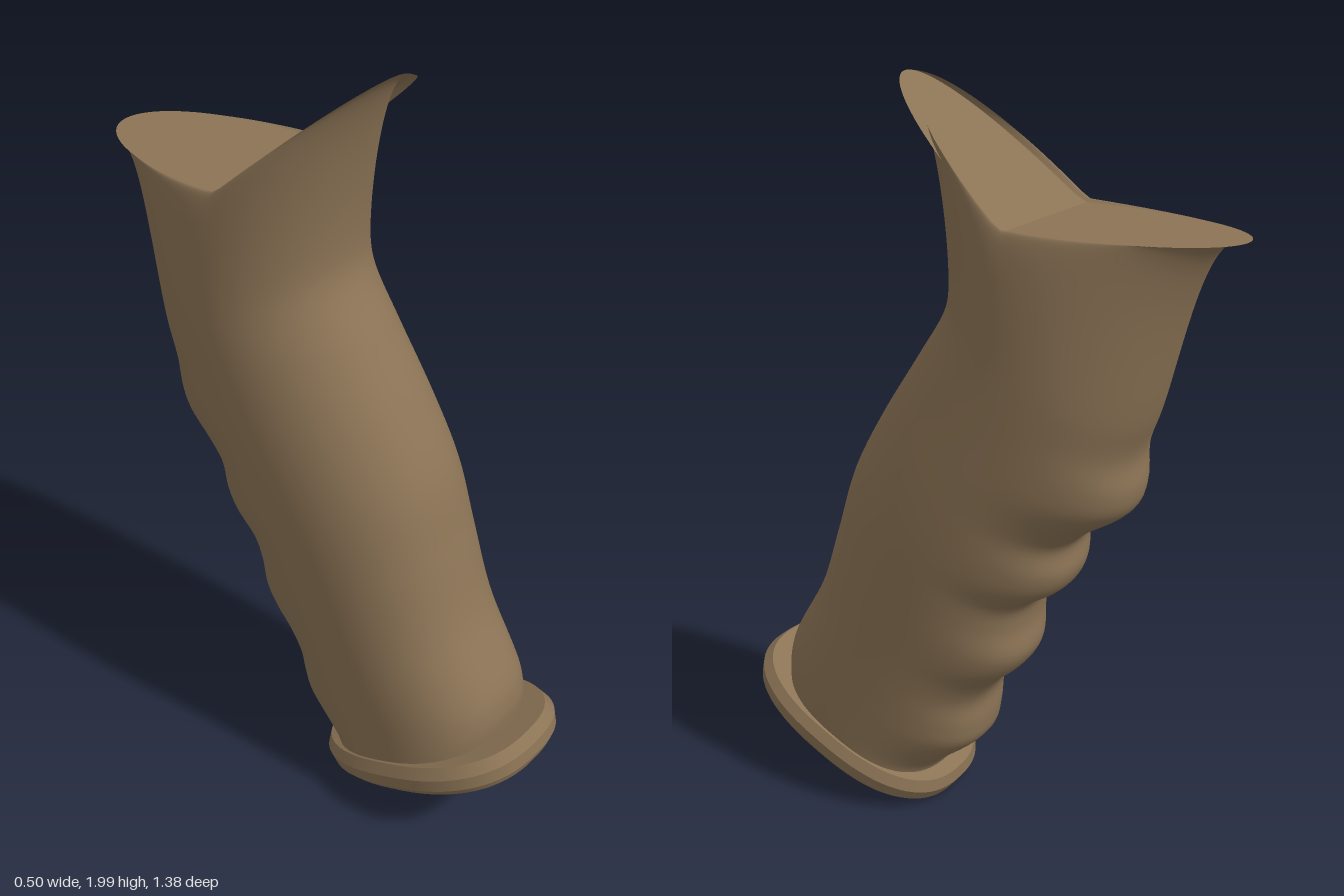
import * as THREE from 'three';
import { toCreasedNormals } from 'three/addons/utils/BufferGeometryUtils.js';

const SEG = 96;

// smooth curve through [key, value] pairs
function interp(pts, v) {
  const last = pts.length - 1;
  let i = 0;
  while (i < last - 1 && v > pts[i + 1][0]) i++;
  const slope = (k) => {
    const a = pts[Math.max(k - 1, 0)], b = pts[Math.min(k + 1, last)];
    return (b[1] - a[1]) / (b[0] - a[0]);
  };
  const [x0, y0] = pts[i], [x1, y1] = pts[i + 1], h = x1 - x0;
  const s = THREE.MathUtils.clamp((v - x0) / h, 0, 1), s2 = s * s, s3 = s2 * s;
  return (2 * s3 - 3 * s2 + 1) * y0 + (s3 - 2 * s2 + s) * h * slope(i)
    + (3 * s2 - 2 * s3) * y1 + (s3 - s2) * h * slope(i + 1);
}

// unit superellipse: [x, z], starting at the front
function outline(j, n) {
  const a = (j / SEG) * Math.PI * 2;
  const p = (c) => Math.sign(c) * Math.pow(Math.abs(c), 2 / n);
  return [p(Math.sin(a)), p(Math.cos(a))];
}

// smooth skin over closed rings, ordered upwards
function loft(rings) {
  const index = [];
  for (let i = 0; i < rings.length - 1; i++) {
    for (let j = 0; j < SEG; j++) {
      const k = (j + 1) % SEG, a = i * SEG, b = a + SEG;
      index.push(a + j, a + k, b + k, a + j, b + k, b + j);
    }
  }
  const geo = new THREE.BufferGeometry();
  geo.setAttribute('position', new THREE.Float32BufferAttribute(rings.flat(2), 3));
  geo.setIndex(index);
  geo.computeVertexNormals();
  return geo;
}

// faceted lid made of strips running from side to side
function lid(ring, up) {
  const pos = [];
  const tri = (a, b, c) => pos.push(...a, ...(up ? b : c), ...(up ? c : b));
  for (let j = 0; j < SEG / 2; j++) {
    const l0 = ring[(SEG - j) % SEG], l1 = ring[SEG - j - 1], r0 = ring[j], r1 = ring[j + 1];
    if (j > 0) tri(l0, r0, r1);
    if (j < SEG / 2 - 1) tri(l0, r1, l1);
  }
  const geo = new THREE.BufferGeometry();
  geo.setAttribute('position', new THREE.Float32BufferAttribute(pos, 3));
  geo.computeVertexNormals();
  return geo;
}

// profiles as [y, z]
const FRONT = [[0.31, 0.58], [0.38, 0.58], [0.45, 0.56], [0.63, 0.457], [0.82, 0.39], [1.0, 0.33],
  [1.16, 0.243], [1.34, 0.127], [1.46, 0.053], [1.54, 0.037], [1.656, 0.058], [1.825, 0.122], [2.0, 0.2]];
const BACK = [[0.08, 0.11], [0.12, 0.095], [0.22, -0.02], [0.28, -0.037], [0.36, -0.04], [0.42, -0.075],
  [0.48, -0.14], [0.535, -0.17], [0.62, -0.165], [0.69, -0.185], [0.745, -0.265], [0.8, -0.295],
  [0.88, -0.295], [0.925, -0.34], [0.99, -0.435], [1.05, -0.46], [1.14, -0.455], [1.22, -0.48],
  [1.43, -0.57], [1.69, -0.695]];
const BACK_MEAN = [[0.08, 0.1], [0.6, -0.185], [1.1, -0.45], [1.43, -0.57], [1.69, -0.695]];
const WIDTH = [[0, 0.22], [0.2, 0.23], [0.42, 0.248], [0.6, 0.245], [0.8, 0.234], [1, 0.2]];

function gripRing(t) {
  const yF = THREE.MathUtils.lerp(0.31, 2, t), yB = THREE.MathUtils.lerp(0.08, 1.69, t);
  const zF = interp(FRONT, yF), zB = interp(BACK_MEAN, yB);
  const groove = interp(BACK, yB) - zB;
  const w = interp(WIDTH, t), n = THREE.MathUtils.lerp(2.5, 2, t);
  const bend = THREE.MathUtils.smoothstep(t, 0.7, 1);
  const ring = [];
  for (let j = 0; j < SEG; j++) {
    const [x, c] = outline(j, n), u = (1 - c) / 2;
    const z = zF + (zB - zF) * u + groove * u ** 4;
    let y = yF + (yB - yF) * u;
    // bend the upper sections towards the notched top cut
    const zTop = 0.2 - 0.895 * u;
    y += (Math.max(1.69, 2 - 0.816 * (0.2 - zTop)) - y) * bend;
    ring.push([x * w, y, z]);
  }
  return ring;
}

export function createModel() {
  const model = new THREE.Group();
  const brown = new THREE.MeshStandardMaterial({ color: 0x8b7355 });
  brown.name = 'brown';
  const add = (parent, name, geo) => {
    const mesh = new THREE.Mesh(geo, brown);
    mesh.name = name;
    parent.add(mesh);
    return mesh;
  };

  // grip with finger grooves and notched top
  const rings = [];
  for (let i = 0; i <= 120; i++) rings.push(gripRing(i / 120));
  add(model, 'grip', loft(rings));
  add(model, 'gripTop', lid(rings[rings.length - 1], true));

  // tilted base plate with bevelled rim: [height, half width, half length]
  const base = new THREE.Group();
  base.name = 'base';
  base.position.set(0, 0.147, 0.394);
  base.rotation.x = THREE.MathUtils.degToRad(-25.3);
  model.add(base);
  const plate = [[0, 0.225, 0.318], [0.02, 0.24, 0.335], [0.055, 0.244, 0.342], [0.085, 0.228, 0.325]]
    .map(([y, w, l]) => Array.from({ length: SEG }, (_, j) => {
      const [x, z] = outline(j, 2.5);
      return [x * w, y, z * l];
    }));
  add(base, 'basePlate', toCreasedNormals(loft(plate), 0.35));
  add(base, 'basePlateTop', lid(plate[3], true));
  add(base, 'basePlateBottom', lid(plate[0], false));

  // round cover under the base, with a small pin
  add(base, 'cover', new THREE.CylinderGeometry(0.143, 0.143, 0.026, 64));
  const pin = add(model, 'pin', new THREE.CylinderGeometry(0.006, 0.006, 0.075, 16));
  pin.rotation.x = Math.PI / 2;
  pin.position.set(0, 0.132, 0.418);

  return model;
}
